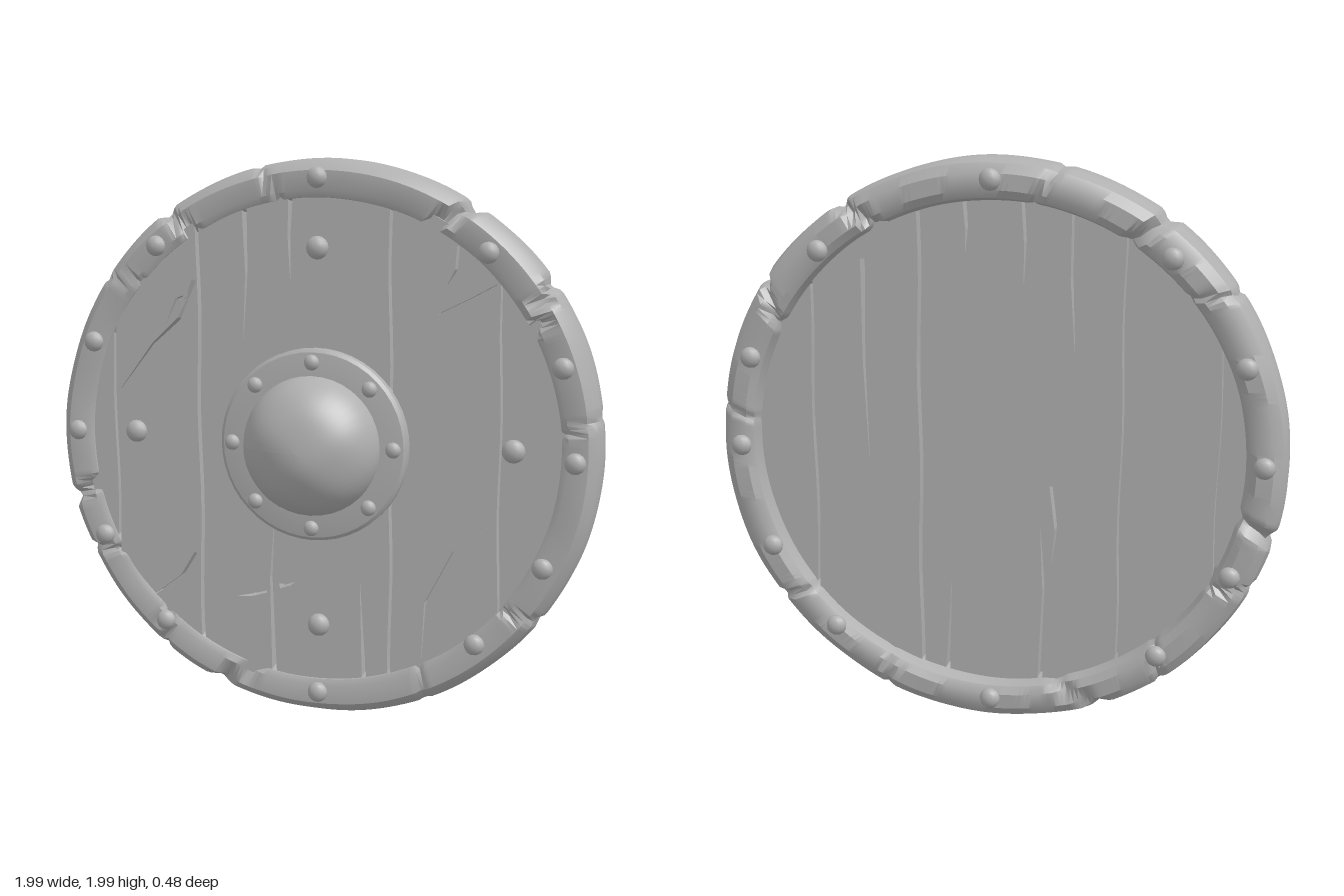
import * as THREE from 'three';
import { toCreasedNormals } from 'three/addons/utils/BufferGeometryUtils.js';

const grey = new THREE.MeshStandardMaterial({ color: 0xb0b0b0 });
grey.name = 'plain grey';

function addMesh(parent, name, geometry) {
  const mesh = new THREE.Mesh(geometry, grey);
  mesh.name = name;
  parent.add(mesh);
  return mesh;
}

// Worn rim: a rounded section swept round a circle, pinched in at each notch
function rimGeometry() {
  const section = [
    [0.862, 0.008], [0.885, 0.02], [0.955, 0.018], [0.984, -0.008], [0.998, -0.045], [0.998, -0.135],
    [0.984, -0.178], [0.95, -0.203], [0.895, -0.205], [0.868, -0.188], [0.856, -0.14], [0.856, -0.03],
  ];
  // angle, half width, slant (degrees), depth
  const notches = [
    [123.5, 2.2, 30, 0.32], [60, 2.2, -40, 0.4], [32, 2, 50, 0.35], [193.5, 2.2, 20, 0.35],
    [251, 3, -60, 0.25], [322, 1.3, 25, 0.18], [142, 1.2, 40, 0.15], [208, 1.3, -30, 0.2],
    [6, 1.2, 20, 0.12], [101, 1.2, 30, 0.12], [231, 1.3, 35, 0.15], [295, 1.2, -20, 0.1],
  ];
  const steps = 360, n = section.length, positions = [], index = [];
  for (let i = 0; i < steps; i++) {
    const a = (i / steps) * Math.PI * 2;
    section.forEach(([r, z], j) => {
      let pinch = 0.03 + 0.02 * Math.sin(a * 7 + 1) + 0.01 * Math.sin(a * 17 + j);
      for (const [angle, width, slant, depth] of notches) {
        const delta = ((i - angle - slant * (r - 0.925) + 540) % 360) - 180;
        pinch += depth * Math.max(0, 1 - Math.abs(delta) / width);
      }
      const rr = r > 0.9 ? r + (0.925 - r) * pinch : r + (0.925 - r) * pinch * 0.5;
      const zz = z + (-0.09 - z) * pinch;
      positions.push(rr * Math.cos(a), rr * Math.sin(a), zz);
      const i2 = (i + 1) % steps, j2 = (j + 1) % n;
      const p = i * n + j, q = i * n + j2, s = i2 * n + j, t = i2 * n + j2;
      index.push(p, q, s, q, t, s);
    });
  }
  const geo = new THREE.BufferGeometry();
  geo.setAttribute('position', new THREE.Float32BufferAttribute(positions, 3));
  geo.setIndex(index);
  return toCreasedNormals(geo, 0.6);
}

// Splits in the boards, widest at the first point and closing at the last
const throughCracks = [
  [[-0.27, 0.82], [-0.263, 0.6], [-0.275, 0.36]],
  [[-0.1, 0.87], [-0.105, 0.72], [-0.1, 0.58]],
  [[-0.16, -0.85], [-0.172, -0.5], [-0.16, -0.28]],
  [[0.18, -0.85], [0.172, -0.7], [0.162, -0.5]],
];
const frontCracks = [
  [[-0.46, 0.57], [-0.52, 0.43], [-0.62, 0.34], [-0.75, 0.17]],
  [[-0.49, 0.51], [-0.53, 0.5], [-0.57, 0.41]],
  [[0.64, 0.57], [0.54, 0.52], [0.43, 0.47]],
  [[0.5, 0.7], [0.49, 0.62], [0.46, 0.57]],
  [[0.63, -0.24], [0.5, -0.36], [0.4, -0.55], [0.39, -0.75]],
  [[-0.19, -0.55], [-0.24, -0.57], [-0.3, -0.58]],
  [[-0.14, -0.53], [-0.1, -0.52], [-0.05, -0.48]],
  [[-0.46, -0.43], [-0.52, -0.52], [-0.63, -0.6]],
];
const backCracks = [
  [[0.46, 0.65], [0.465, 0.3], [0.455, -0.05]],
  [[0.1, 0.86], [0.095, 0.76], [0.1, 0.68]],
  [[-0.2, -0.12], [-0.215, -0.28], [-0.2, -0.4]],
];

function crackPath(points) {
  const left = [], right = [];
  points.forEach(([x, y], i) => {
    const [ax, ay] = points[Math.max(i - 1, 0)];
    const [bx, by] = points[Math.min(i + 1, points.length - 1)];
    const len = Math.hypot(bx - ax, by - ay);
    const w = 0.008 * (1 - i / (points.length - 1)) + 0.0008;
    const nx = (-(by - ay) / len) * w, ny = ((bx - ax) / len) * w;
    left.push(new THREE.Vector2(x + nx, y + ny));
    right.unshift(new THREE.Vector2(x - nx, y - ny));
  });
  return new THREE.Path([...left, ...right]);
}

// One board: wavy long edges, ends trimmed to the circle
function plankGeometry(x0, x1, cracks) {
  const R = 0.9, gap = 0.006, n = 18;
  const edge = (x, y) => x + 0.004 * Math.sin(y * 9 + x * 20) - 0.008 * y;
  const points = [];
  const side = (x, inset, dir) => {
    const h = Math.sqrt(R * R - x * x);
    for (let i = 0; i <= n; i++) {
      const y = dir * h * ((2 * i) / n - 1);
      points.push(new THREE.Vector2(edge(x, y) + inset, y));
    }
  };
  const arc = (from, to, sign) => {
    for (let i = 1; i < n; i++) {
      const x = from + ((to - from) * i) / n;
      points.push(new THREE.Vector2(edge(x, 0), sign * Math.sqrt(R * R - x * x)));
    }
  };
  side(x1, -gap, 1);
  arc(x1 - gap, x0 + gap, 1);
  side(x0, gap, -1);
  arc(x0 + gap, x1 - gap, -1);
  const shape = new THREE.Shape(points);
  for (const c of cracks) if (c[0][0] > x0 && c[0][0] < x1) shape.holes.push(crackPath(c));
  return new THREE.ExtrudeGeometry(shape, { depth: 0.05, bevelEnabled: false });
}

export function createModel() {
  const model = new THREE.Group();
  model.name = 'roundShield';
  const shield = new THREE.Group();
  shield.name = 'shieldBody';
  shield.position.y = 1;
  shield.rotation.x = -0.012;
  model.add(shield);

  addMesh(shield, 'rim', rimGeometry());

  // Boards on both faces with a solid core between them
  const seams = [-0.88, -0.77, -0.44, 0.268, 0.655, 0.88];
  for (let i = 0; i < seams.length - 1; i++) {
    const lift = [0, 0.004, 0, 0.003, -0.002][i];
    const front = plankGeometry(seams[i], seams[i + 1], [...throughCracks, ...frontCracks]);
    addMesh(shield, 'frontPlank', front).position.z = -0.05 + lift;
    const back = plankGeometry(seams[i], seams[i + 1], [...throughCracks, ...backCracks]);
    addMesh(shield, 'backPlank', back).position.z = -0.14 - lift;
  }
  const core = addMesh(shield, 'plankCore', new THREE.CylinderGeometry(0.88, 0.88, 0.038, 64));
  core.rotation.x = Math.PI / 2;
  core.position.z = -0.07;

  // Boss: flanged plate with a hammered dome
  const plateProfile = [[0.2, -0.005], [0.342, -0.005], [0.342, 0.035], [0.33, 0.045], [0.262, 0.055], [0.2, 0.055]];
  const plate = new THREE.LatheGeometry(plateProfile.map(([r, y]) => new THREE.Vector2(r, y)), 48);
  plate.rotateX(Math.PI / 2);
  addMesh(shield, 'bossPlate', toCreasedNormals(plate, 0.5)).position.x = -0.005;

  const dome = new THREE.SphereGeometry(1, 40, 20, 0, Math.PI * 2, 0, Math.PI / 2);
  dome.rotateX(Math.PI / 2);
  const p = dome.attributes.position;
  for (let i = 0; i < p.count; i++) {
    const x = p.getX(i), y = p.getY(i), z = p.getZ(i);
    const dent = 1 - 0.012 * (1 + Math.sin(x * 6 + 1) * Math.sin(y * 7) * z);
    p.setXYZ(i, x * 0.252 * dent, y * 0.252 * dent, z * 0.205 * dent);
  }
  dome.computeVertexNormals();
  addMesh(shield, 'bossDome', dome).position.set(-0.005, 0, 0.038);

  // Rivets
  const rivetGeo = new THREE.SphereGeometry(1, 12, 8);
  const rivet = (name, x, y, z, r) => {
    const m = addMesh(shield, name, rivetGeo);
    m.position.set(x, y, z);
    m.scale.set(r, r, r * 0.75);
  };
  const rimRivets = [
    [0, 0.93], [-0.6, 0.69], [-0.85, 0.34], [-0.92, 0.01], [-0.82, -0.38], [-0.58, -0.69],
    [0.01, -0.91], [0.58, -0.68], [0.81, -0.39], [0.91, -0.02], [0.86, 0.3], [0.6, 0.68],
  ];
  for (const [x, y] of rimRivets) {
    rivet('frontRimRivet', x, y, 0.016, 0.037);
    rivet('backRimRivet', x, y, -0.203, 0.037);
  }
  for (const [x, y] of [[0, 0.69], [-0.69, 0.015], [0.7, 0.01], [0.01, -0.66]]) rivet('plankRivet', x, y, 0.006, 0.041);
  for (let i = 0; i < 8; i++) {
    const a = (i * Math.PI) / 4;
    rivet('bossRivet', -0.005 + 0.295 * Math.cos(a), 0.295 * Math.sin(a), 0.054, 0.028);
  }
  return model;
}
